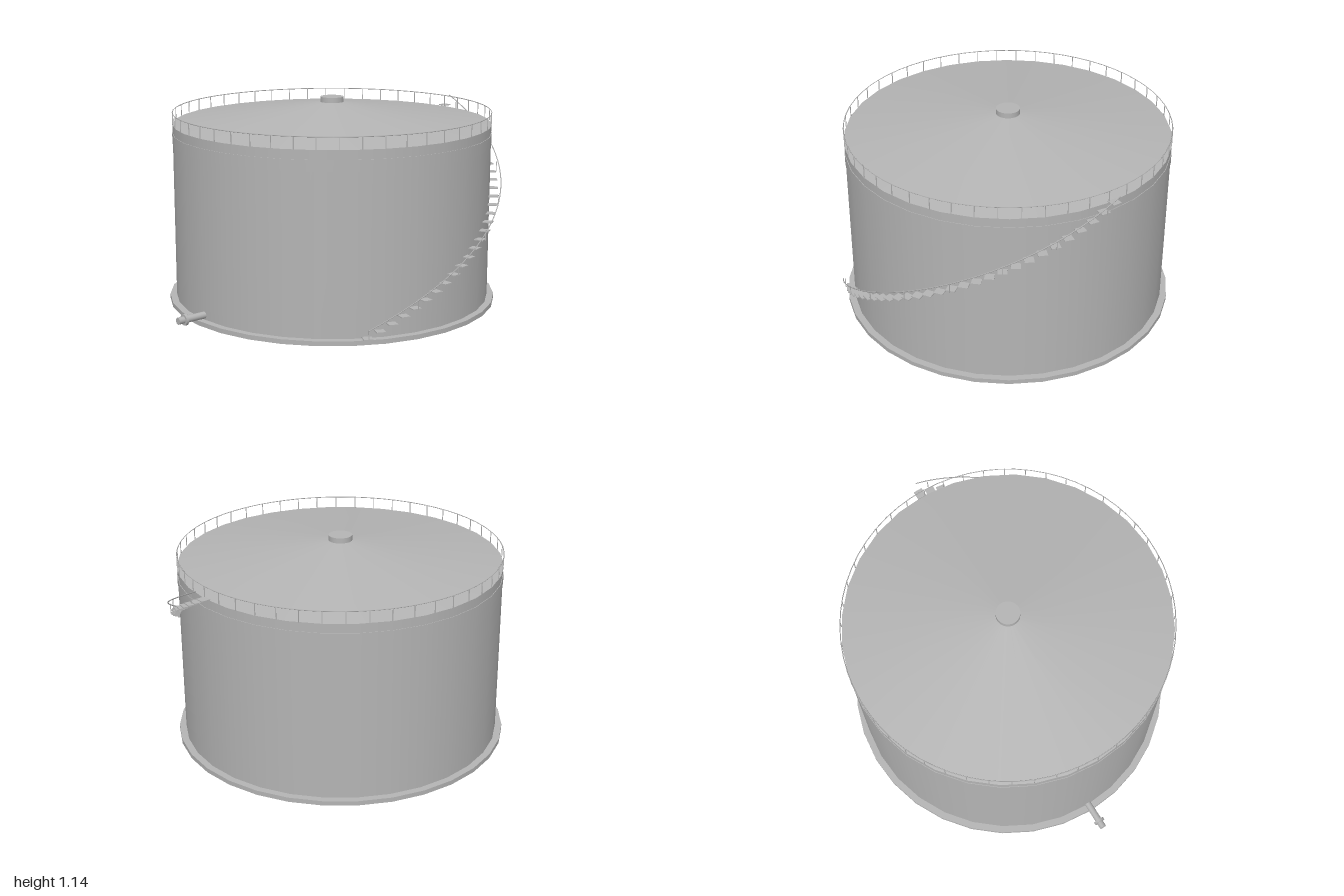
import * as THREE from 'three';

const CX = -0.017, CZ = -0.05; // tank axis
const WALL_R = 0.885, WALL_TOP = 1.0;

export function createModel() {
  const model = new THREE.Group();
  model.name = 'storageTank';
  const tank = new THREE.Group();
  tank.name = 'tank';
  tank.position.set(CX, 0, CZ);
  model.add(tank);

  const steel = new THREE.MeshStandardMaterial({ color: 0xb4b4b4 });
  steel.name = 'grey steel';

  const add = (name, geometry, parent = tank) => {
    const mesh = new THREE.Mesh(geometry, steel);
    mesh.name = name;
    parent.add(mesh);
    return mesh;
  };
  const drum = (name, rTop, rBottom, y0, y1, sides = 32, open = false) => {
    const mesh = add(name, new THREE.CylinderGeometry(rTop, rBottom, y1 - y0, sides, 1, open));
    mesh.position.y = (y0 + y1) / 2;
    return mesh;
  };

  // Shell, foundation, conical roof and vent
  drum('foundation', 0.922, 0.922, 0, 0.025);
  drum('shell', WALL_R, WALL_R, 0.025, WALL_TOP, 32, true);
  drum('stiffeningBand', WALL_R + 0.003, WALL_R + 0.003, 0.89, 0.95);
  drum('roof', 0.02, WALL_R + 0.002, WALL_TOP, 1.117);
  drum('roofVent', 0.065, 0.065, 1.105, 1.14);

  // Thin upright post at an angle (0 = +x, positive towards +z)
  const post = (parent, name, r, angle, y0, y1) => {
    const mesh = add(name, new THREE.BoxGeometry(0.004, y1 - y0, 0.004), parent);
    mesh.position.set(r * Math.cos(angle), (y0 + y1) / 2, r * Math.sin(angle));
    mesh.rotation.y = -angle;
  };

  // Roof guard rail
  const guard = new THREE.Group();
  guard.name = 'roofRailing';
  tank.add(guard);
  const hoop = add('topRail', new THREE.TorusGeometry(WALL_R, 0.0025, 4, 64), guard);
  hoop.rotation.x = Math.PI / 2;
  hoop.position.y = 1.065;
  for (let i = 0; i < 48; i++) {
    post(guard, 'railPost', WALL_R, (i / 48) * Math.PI * 2, WALL_TOP, 1.065);
  }

  // Spiral stair: treads climb round the +x side to the back
  const stair = new THREE.Group();
  stair.name = 'spiralStair';
  tank.add(stair);
  const A0 = THREE.MathUtils.degToRad(28.4), A1 = THREE.MathUtils.degToRad(-91.2);
  const RAIL_R = 0.946, STEPS = 30;
  const angleAt = (t) => A0 + (A1 - A0) * t;
  const railY = (t) => 0.085 + 0.975 * t;
  for (let i = 0; i < STEPS; i++) {
    const t = i / (STEPS - 1), a = angleAt(t);
    const tread = add('tread', new THREE.BoxGeometry(0.05, 0.005, 0.05), stair);
    tread.position.set(0.906 * Math.cos(a), railY(t) - 0.055, 0.906 * Math.sin(a));
    tread.rotation.y = -a;
    if (i % 4 === 0) post(stair, 'stairPost', 0.937, a, railY(t) - 0.057, railY(t));
  }
  const railPoints = [];
  for (let i = 0; i <= 40; i++) {
    const a = angleAt(i / 40);
    railPoints.push(new THREE.Vector3(RAIL_R * Math.cos(a), railY(i / 40), RAIL_R * Math.sin(a)));
  }
  add('handrail', new THREE.TubeGeometry(new THREE.CatmullRomCurve3(railPoints), 80, 0.003, 5), stair);

  // Outlet pipe with flange at the front
  const pipe = (name, r, z0, z1) => {
    const mesh = add(name, new THREE.CylinderGeometry(r, r, z1 - z0, 16), model);
    mesh.rotation.x = Math.PI / 2;
    mesh.position.set(CX, 0.05, (z0 + z1) / 2);
  };
  pipe('outletPipe', 0.019, 0.8, 1.0);
  pipe('outletFlange', 0.031, 0.95, 0.965);

  return model;
}
